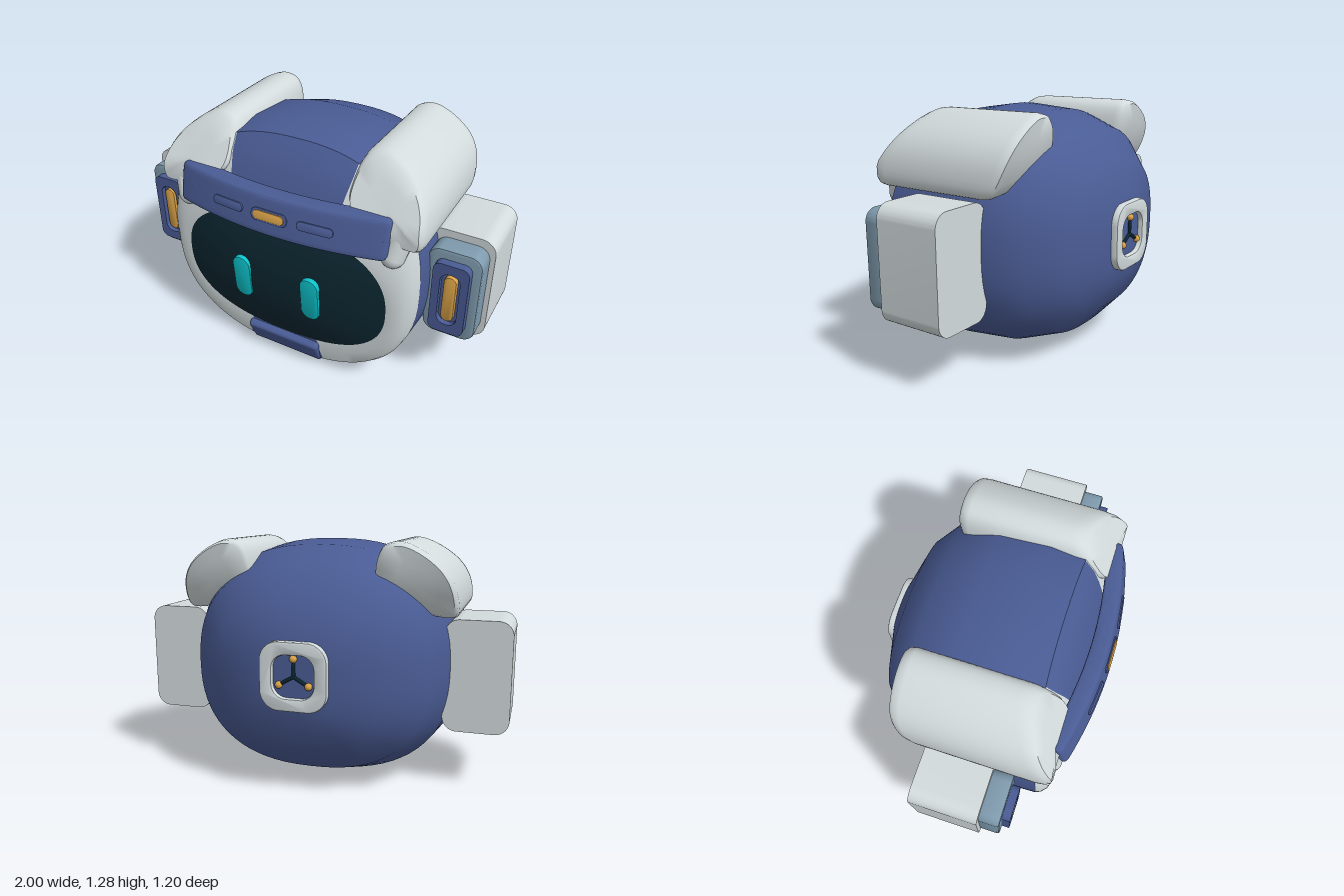
import * as THREE from 'three';
import { toCreasedNormals } from 'three/addons/utils/BufferGeometryUtils.js';
import { RoundedBoxGeometry } from 'three/addons/geometries/RoundedBoxGeometry.js';

const mat = (name, color) => {
  const m = new THREE.MeshStandardMaterial({ color });
  m.name = name;
  return m;
};

// Point on a unit superellipse
const se = (a, n) => [Math.cos(a), Math.sin(a)].map(v => Math.sign(v) * Math.abs(v) ** (2 / n));

// Skin a list of equally long rings of [x, y, z] points
function loft(rings, crease = 0.8) {
  const n = rings[0].length, index = [];
  for (let s = 0; s < rings.length - 1; s++) {
    for (let i = 0; i < n - 1; i++) {
      const a = s * n + i, b = a + 1, c = b + n, d = a + n;
      index.push(a, b, c, a, c, d);
    }
  }
  const g = new THREE.BufferGeometry();
  g.setAttribute('position', new THREE.Float32BufferAttribute(rings.flat(2), 3));
  g.setIndex(index);
  g.computeVertexNormals();
  return toCreasedNormals(g, crease);
}

// Rounded rectangle, optionally with a rounded hole, extruded from z0 to z1
function roundRect(path, w, h, r) {
  const x = w / 2, y = h / 2, q = Math.PI / 2;
  path.absarc(x - r, y - r, r, 0, q).absarc(r - x, y - r, r, q, 2 * q);
  path.absarc(r - x, r - y, r, 2 * q, 3 * q).absarc(x - r, r - y, r, 3 * q, 4 * q);
  return path.closePath();
}
function plate(w, h, r, z0, z1, hole, bevel = 0) {
  const shape = roundRect(new THREE.Shape(), w - 2 * bevel, h - 2 * bevel, r - bevel);
  if (hole) shape.holes.push(roundRect(new THREE.Path(), ...hole));
  const g = new THREE.ExtrudeGeometry(shape, {
    depth: z1 - z0 - 2 * bevel, curveSegments: 8, bevelEnabled: bevel > 0,
    bevelSize: bevel, bevelThickness: bevel, bevelSegments: 2,
  });
  return toCreasedNormals(g.translate(0, 0, z0 + bevel), 0.6);
}

export function createModel() {
  const white = mat('shell white', 0xd3dbdd), blue = mat('indigo blue', 0x4a5c95);
  const slate = mat('slate blue', 0x7f9bae), orange = mat('amber', 0xdca448);
  const dark = mat('dark glass', 0x0c2630), cyan = mat('eye cyan', 0x0cc4cc);
  const root = new THREE.Group();
  root.name = 'robotHead';
  const add = (name, geo, material, parent = root, x = 0, y = 0, z = 0) => {
    const m = new THREE.Mesh(geo, material);
    m.name = name;
    m.position.set(x, y, z);
    parent.add(m);
    return m;
  };

  // One head cross-section; zTop leans its upper half backwards
  const ring = ([z, hx, cy, hy, zTop = z], a0, a1, n, count) =>
    Array.from({ length: count + 1 }, (_, i) => {
      const a = THREE.MathUtils.degToRad(a0 + (a1 - a0) * i / count);
      const [u, v] = se(a, n);
      return [hx * u, cy + hy * v, z + (zTop - z) * Math.max(0, v) ** 1.5];
    });
  const skin = (stations, a0 = 0, a1 = 360, n = 2.4, count = 72) =>
    loft(stations.map(s => ring(s, a0, a1, n, count)));

  // Head shell, back to front
  const rim = [0.415, 0.722, 0.63, 0.615, 0.31];
  add('headShell', skin([
    [-0.572, 0, 0.625, 0], [-0.57, 0.2, 0.625, 0.205], [-0.49, 0.45, 0.635, 0.385],
    [-0.345, 0.62, 0.635, 0.535], [-0.13, 0.71, 0.637, 0.612], [0.14, 0.733, 0.635, 0.635], rim,
  ]), blue);

  // Face surround: white cheeks, blue forehead and chin gap
  const front = [rim, [0.445, 0.705, 0.59, 0.58, 0.37], [0.472, 0.675, 0.56, 0.535, 0.41],
    [0.49, 0.625, 0.53, 0.42, 0.47], [0.488, 0.585, 0.52, 0.355]];
  add('forehead', skin(front, 66, 114, 2.4, 16), blue);
  add('leftCheek', skin(front, -74, 66, 2.4, 48), white);
  add('rightCheek', skin(front, 114, 254, 2.4, 48), white);
  add('chinGap', skin(front, 254, 286, 2.4, 12), blue);
  const chin = add('chinPlate', new RoundedBoxGeometry(0.43, 0.15, 0.05, 3, 0.018), blue, root, 0, 0.09, 0.475);
  chin.rotation.x = 0.42;

  // Domed visor
  add('visor', skin([1, 0.9, 0.75, 0.6, 0.4, 0.2, 0].map(r =>
    [0.485 + 0.072 * (1 - r * r), 0.588 * r, 0.52, 0.358 * r]), 0, 360, 2.45), dark);

  // Curved, sloping brow bar
  const browZ = (x, y) => 0.605 - 0.25 * (y - 0.85) - 0.08 * (x / 0.58) ** 2;
  const browRing = (x, k) => Array.from({ length: 41 }, (_, i) => {
    const [u, v] = se(-i * Math.PI / 20, 8);
    const y = 0.947 + 0.098 * k * v;
    return [x, y, browZ(x, y) - 0.047 + 0.047 * k * u];
  });
  const browStations = [[-0.582, 0], [-0.582, 0.8], [-0.575, 0.94], [-0.56, 1]];
  for (let i = 1; i < 20; i++) browStations.push([-0.56 + i * 0.056, 1]);
  browStations.push([0.56, 1], [0.575, 0.94], [0.582, 0.8], [0.582, 0]);
  add('browBar', loft(browStations.map(s => browRing(...s))), blue);
  const browPill = (name, x, w, h, lift, material) => {
    const m = add(name, plate(w, h, h / 2 - 0.001, -0.01, lift, null, 0.003), material, root, x, 0.947, browZ(x, 0.947));
    m.rotation.set(-0.245, 0.476 * x, 0);
  };
  browPill('browLampFrame', 0, 0.2, 0.066, 0.005, blue);
  browPill('browLamp', 0, 0.17, 0.046, 0.01, orange);
  for (const s of [-1, 1]) browPill('browInset', s * 0.243, 0.185, 0.046, 0.007, blue);

  // Parts on both sides, built on +x and mirrored
  const padCurve = new THREE.CatmullRomCurve3([
    [0.725, 0.91], [0.725, 1.04], [0.67, 1.15], [0.55, 1.245], [0.45, 1.28],
    [0.375, 1.26], [0.338, 1.19], [0.34, 1.05], [0.5, 0.95], [0.64, 0.905],
  ].map(p => new THREE.Vector3(...p, 0)), true);
  const padPoints = padCurve.getPoints(48);
  const zBack = y => -0.35 + 0.95 * (1.25 - y) ** 2;
  const zFront = y => Math.min(0.475, 0.29 + 0.68 * (1.28 - y));
  const padRing = (k, zOf) => padPoints.map(p => {
    const x = 0.55 + (p.x - 0.55) * k, y = 1.06 + (p.y - 1.06) * k;
    return [x, y, zOf(y)];
  });
  const padGeo = loft([
    padRing(0, zBack), padRing(0.5, zBack), padRing(0.9, zBack),
    padRing(0.97, y => zBack(y) + 0.015), padRing(1, y => zBack(y) + 0.05),
    padRing(1, y => zFront(y) - 0.07), padRing(0.97, y => zFront(y) - 0.025),
    padRing(0.9, zFront), padRing(0.5, zFront), padRing(0, zFront),
  ]);
  const tipGeo = new THREE.CapsuleGeometry(0.06, 0.14, 8, 20);
  const eyeGeo = plate(0.102, 0.256, 0.05, -0.02, 0.013, null, 0.004);
  for (const s of [1, -1]) {
    const side = new THREE.Group();
    side.name = s > 0 ? 'leftSide' : 'rightSide';
    side.scale.x = s;
    root.add(side);

    // Long pad over the top corner, with a tapered front tip
    add('topPad', padGeo, white, side);
    const tip = add('topPadTip', tipGeo, white, side, 0.605, 0.905, 0.425);
    tip.rotation.set(-0.25, 0, -0.25);

    // Ear pod in stepped layers with a recessed lamp
    const ear = new THREE.Group();
    ear.name = 'earPod';
    ear.position.set(0.84, 0.598, 0);
    side.add(ear);
    add('earHousing', plate(0.34, 0.585, 0.075, -0.165, 0.19), white, ear, -0.01);
    add('earStep', plate(0.27, 0.505, 0.065, 0.18, 0.297, null, 0.012), slate, ear);
    add('earFrame', plate(0.18, 0.405, 0.04, 0.29, 0.34, [0.1, 0.3, 0.045]), blue, ear);
    add('earRecess', plate(0.11, 0.31, 0.05, 0.29, 0.312), blue, ear);
    add('earLamp', plate(0.064, 0.262, 0.031, 0.3, 0.337, null, 0.006), orange, ear);

    // Eye
    const eye = add('eye', eyeGeo, cyan, side, 0.2, 0.502, 0.547);
    eye.rotation.x = 0.07;
  }

  // Rear port: white frame, three spokes with amber ends
  const port = new THREE.Group();
  port.name = 'rearPort';
  port.position.set(0, 0.642, 0);
  root.add(port);
  add('portFrame', plate(0.346, 0.346, 0.1, -0.605, -0.545, [0.235, 0.235, 0.08], 0.01), white, port);
  add('portBack', plate(0.27, 0.27, 0.09, -0.578, -0.55), blue, port);
  for (let i = 0; i < 3; i++) {
    const arm = new THREE.Group();
    arm.name = 'portArm';
    arm.rotation.z = i * Math.PI * 2 / 3;
    port.add(arm);
    add('spoke', new THREE.CylinderGeometry(0.009, 0.009, 0.085, 10), dark, arm, 0, 0.0425, -0.583);
    add('spokeEnd', new THREE.SphereGeometry(0.019, 16, 12), orange, arm, 0, 0.088, -0.585);
  }
  return root;
}
